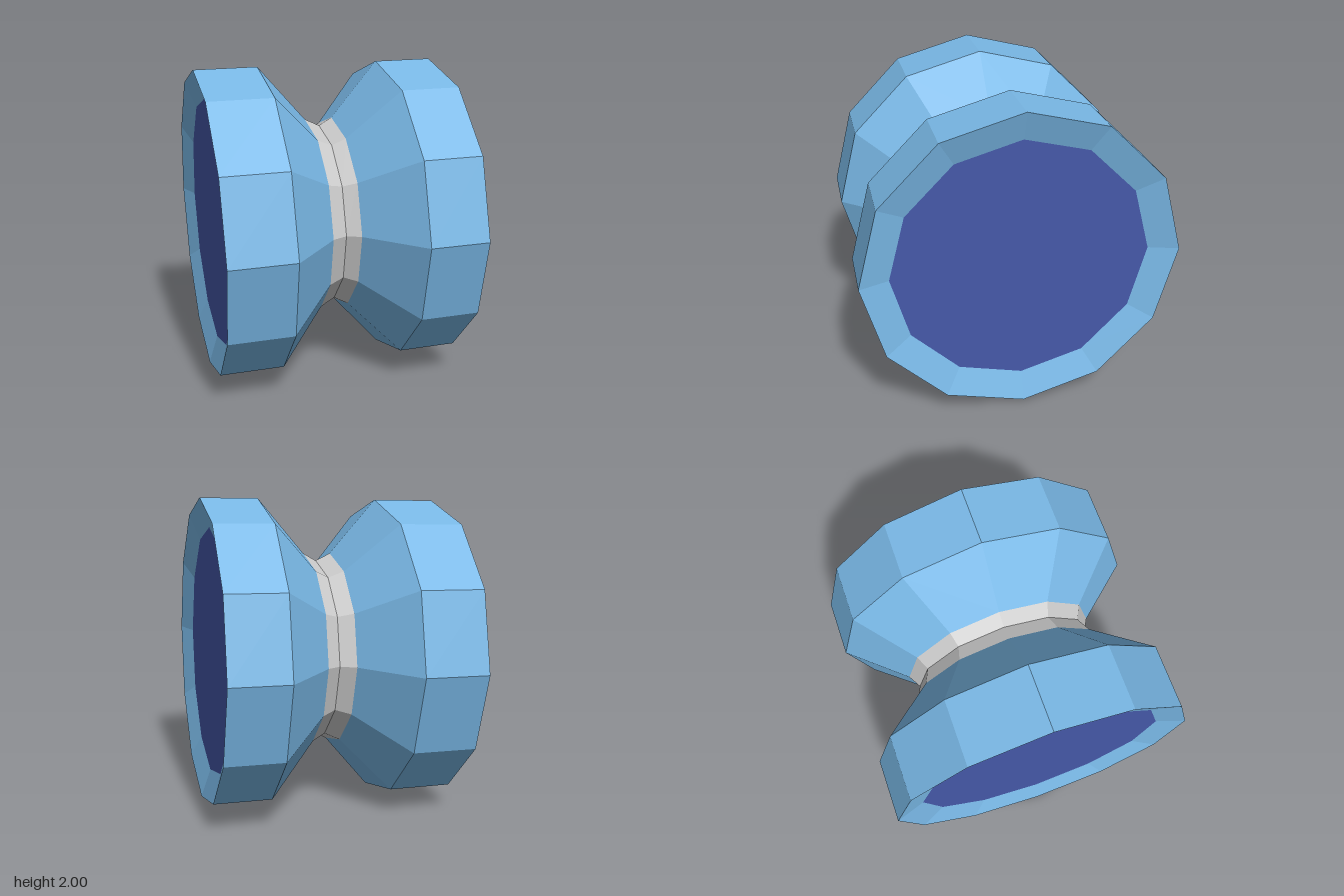
import * as THREE from 'three';

const SIDES = 12;
const paint = (color) => new THREE.MeshStandardMaterial({ color, flatShading: true });

// Turns a profile of [distance along the axle, radius] points around the x axis
function turned(name, profile, material) {
  const points = profile.map(([x, r]) => new THREE.Vector2(r, x));
  const geometry = new THREE.LatheGeometry(points, SIDES).rotateZ(-Math.PI / 2);
  const mesh = new THREE.Mesh(geometry, material);
  mesh.name = name;
  return mesh;
}

export function createModel() {
  const blue = paint(0x79b8e6);
  const darkBlue = paint(0x4558a8);
  const grey = paint(0xcccccc);

  const rim = 0.983, end = 0.78, recess = 0.06, faceRadius = 0.8;
  const face = end - recess;

  const wheel = new THREE.Group();
  wheel.name = 'spool';
  wheel.add(
    // Flanges: bevelled recess, flat rim, cone down to the neck
    turned('rightFlange', [[-face, faceRadius], [-end, rim], [-0.375, rim], [-0.075, 0.632]], blue),
    turned('leftFlange', [[0.105, 0.632], [0.41, rim], [end, rim], [face, faceRadius]], blue),
    // Grey V-shaped neck between the flanges
    turned('neck', [[-0.075, 0.632], [0.02, 0.585], [0.105, 0.632]], grey),
    // Recessed end faces
    turned('rightEndFace', [[-face, 0], [-face, faceRadius]], darkBlue),
    turned('leftEndFace', [[face, faceRadius], [face, 0]], darkBlue),
  );

  // The axle leans slightly
  wheel.rotation.z = 0.0207;
  wheel.position.y = 1;

  const model = new THREE.Group();
  model.name = 'model';
  model.add(wheel);
  return model;
}
